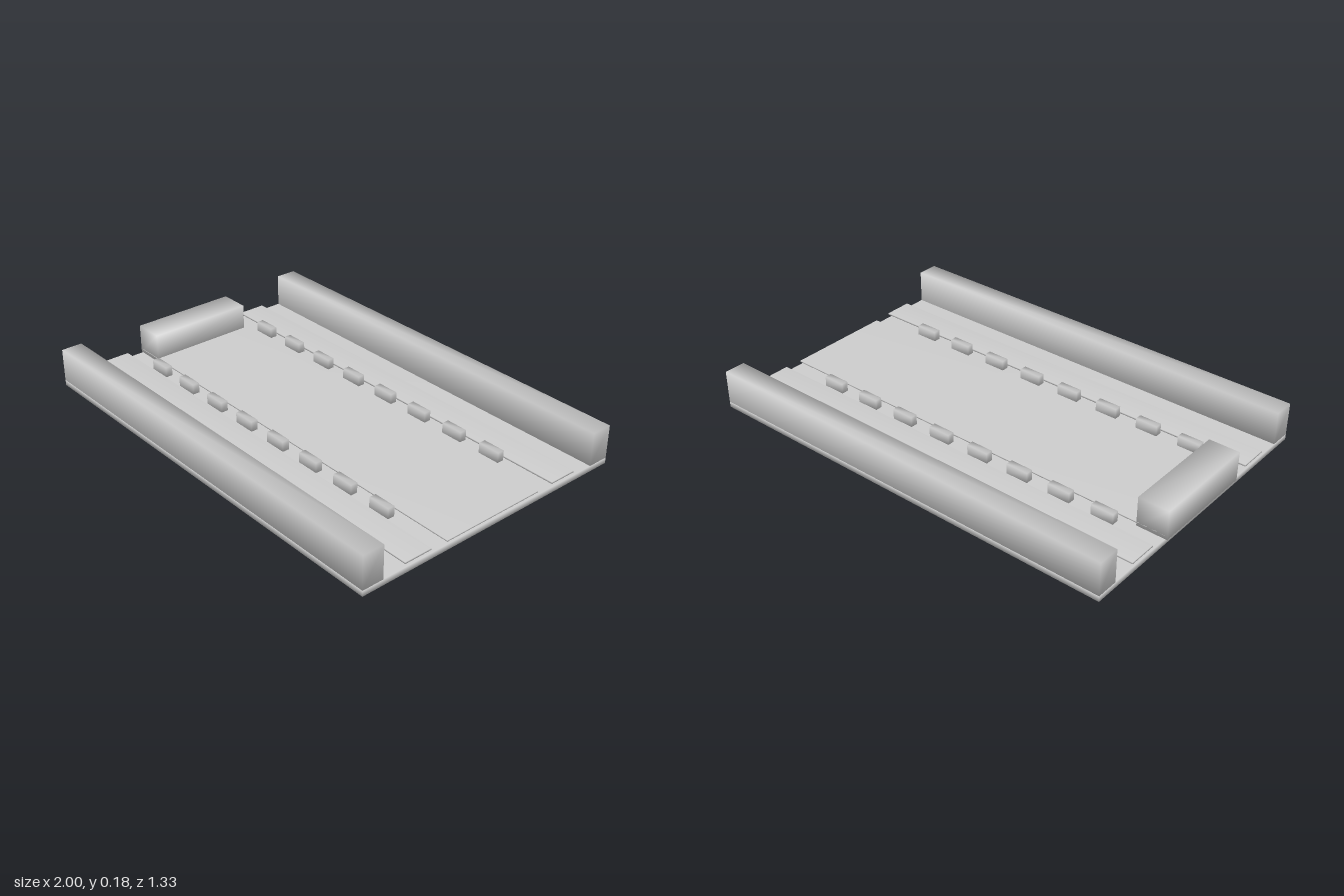
import * as THREE from 'three';
import { mergeVertices } from 'three/addons/utils/BufferGeometryUtils.js';

const grey = new THREE.MeshStandardMaterial({ color: 0xcccccc });
grey.name = 'plain grey';

// Box between two corners, with normals shared across its edges for soft shading
function softBox(name, [x0, y0, z0], [x1, y1, z1]) {
  let geo = new THREE.BoxGeometry(x1 - x0, y1 - y0, z1 - z0);
  geo.deleteAttribute('normal');
  geo.deleteAttribute('uv');
  geo = mergeVertices(geo);
  geo.computeVertexNormals();
  const mesh = new THREE.Mesh(geo, grey);
  mesh.name = name;
  mesh.position.set((x0 + x1) / 2, (y0 + y1) / 2, (z0 + z1) / 2);
  return mesh;
}

export function createModel() {
  const group = new THREE.Group();
  group.name = 'tray';

  // Base slab, raised centre panel and end stop
  group.add(softBox('base', [-0.99, 0, -0.663], [1, 0.026, 0.663]));
  group.add(softBox('centrePanel', [-0.99, 0.038, -0.248], [1, 0.044, 0.248]));
  group.add(softBox('endStop', [-1, 0.026, -0.248], [-0.86, 0.16, 0.248]));

  for (const side of [1, -1]) {
    const label = side > 0 ? 'front' : 'back';

    // Tall rail along the long edge
    const rail = softBox(label + 'Rail', [-0.99, 0.026, -0.049], [1, 0.177, 0.049]);
    rail.position.z = side * 0.614;
    group.add(rail);

    // Thin strip between the rail and the pegs
    const strip = softBox(label + 'Strip', [-0.99, 0.041, -0.065], [1, 0.049, 0.065]);
    strip.position.z = side * 0.395;
    group.add(strip);

    // Row of small pegs
    const row = new THREE.Group();
    row.name = label + 'Pegs';
    for (let i = 0; i < 8; i++) {
      const peg = softBox('peg', [-0.052, 0.039, -0.016], [0.052, 0.085, 0.016]);
      peg.position.x = -0.747 + i * 0.2075;
      peg.position.z = side * 0.3;
      row.add(peg);
    }
    group.add(row);
  }
  return group;
}
